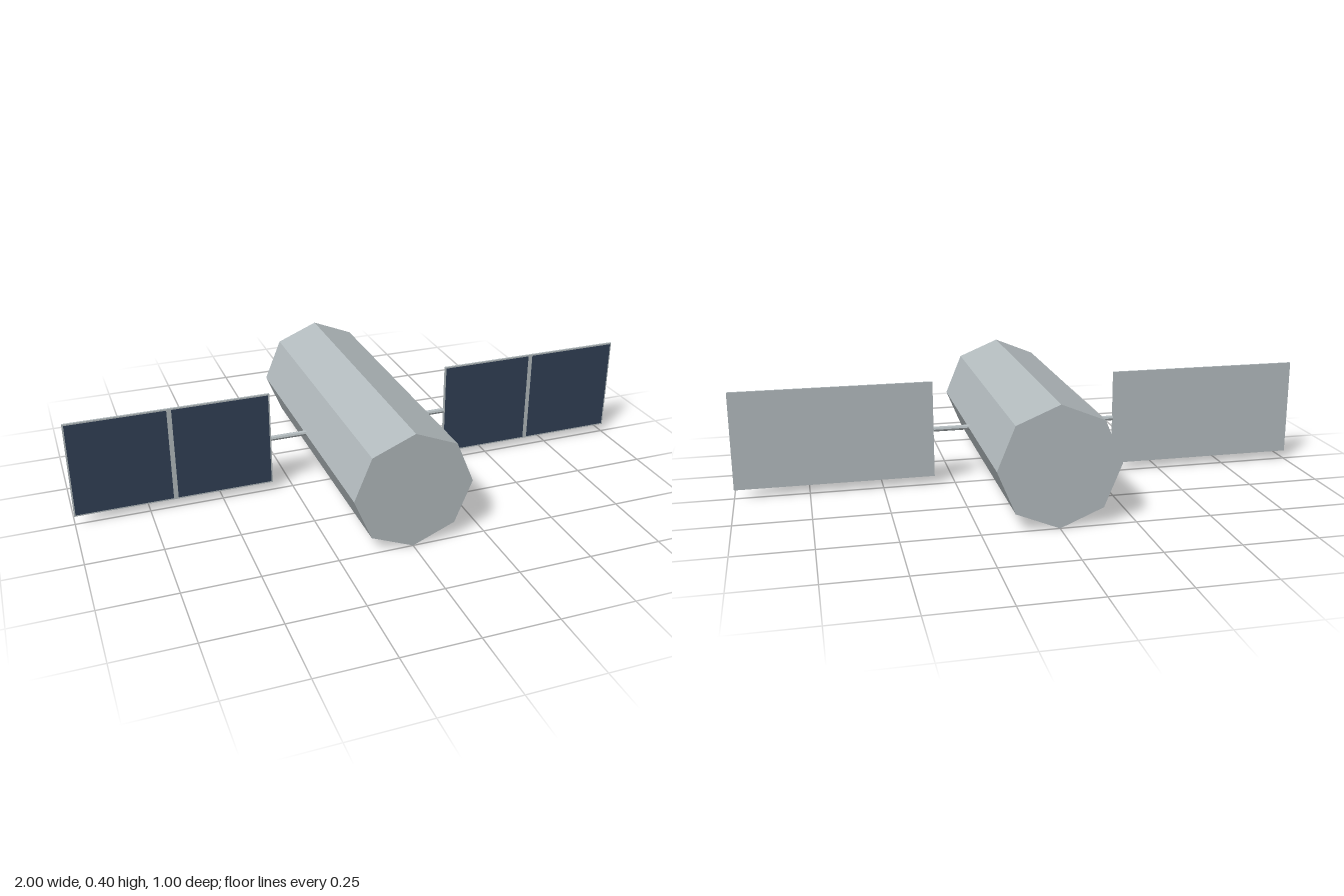
import * as THREE from 'three';

export function createModel() {
  const model = new THREE.Group();
  model.name = 'satellite';

  const metal = new THREE.MeshStandardMaterial({ color: 0xb4bcbf });
  metal.name = 'grey metal';
  metal.flatShading = true;
  const cellBlue = new THREE.MeshStandardMaterial({ color: 0x324157 });
  cellBlue.name = 'dark blue cells';

  const add = (parent, name, geometry, material, x, y, z) => {
    const mesh = new THREE.Mesh(geometry, material);
    mesh.name = name;
    mesh.position.set(x, y, z);
    parent.add(mesh);
    return mesh;
  };

  const midY = 0.2;

  // Eight-sided body lying along z, with a corner at the top
  const body = new THREE.CylinderGeometry(0.2, 0.2, 1, 8).rotateX(Math.PI / 2);
  add(model, 'body', body, metal, 0, midY, 0);

  // Solar wings, one on each side
  const inner = 0.322, outer = 1, height = 0.338, depth = 0.007;
  const border = 0.005, divider = 0.016;
  const width = outer - inner;
  const centre = (inner + outer) / 2;
  const cellWidth = (width - divider) / 2 - border;

  for (const side of [1, -1]) {
    const wing = new THREE.Group();
    wing.name = side > 0 ? 'leftWing' : 'rightWing';
    model.add(wing);

    // Strut from the body to the panel edge
    const strut = new THREE.CylinderGeometry(0.009, 0.009, inner - 0.18, 8).rotateZ(Math.PI / 2);
    add(wing, 'strut', strut, metal, side * (inner + 0.18) / 2, midY, 0);

    // Panel frame and back
    add(wing, 'panel', new THREE.BoxGeometry(width, height, depth), metal, side * centre, midY, 0);

    // Two cell fields on the front face
    for (const half of [-1, 1]) {
      const x = side * centre + half * (divider + cellWidth) / 2;
      const cell = new THREE.BoxGeometry(cellWidth, height - 2 * border, 0.002);
      add(wing, 'solarCells', cell, cellBlue, x, midY, depth / 2);
    }
  }

  return model;
}
